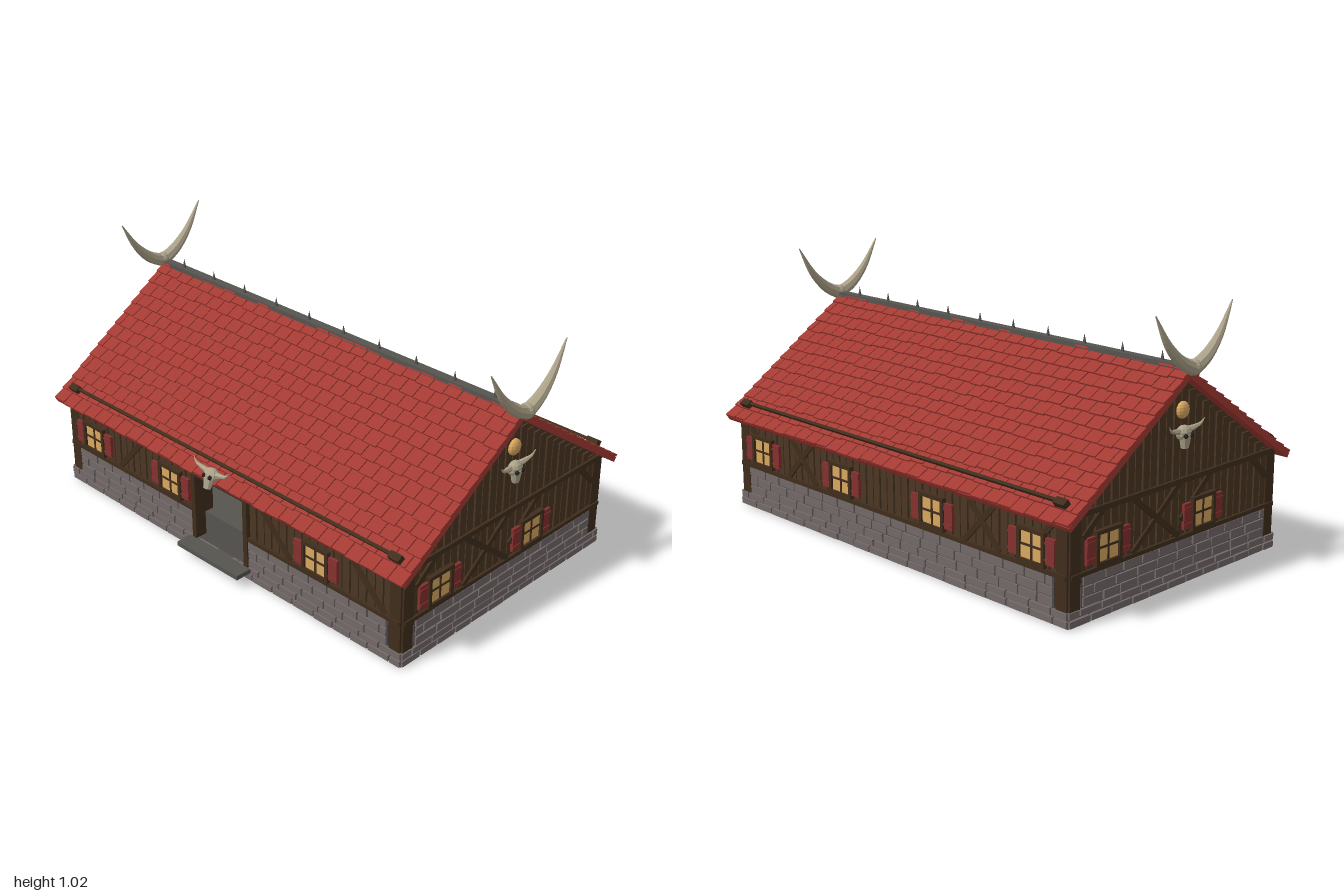
import * as THREE from 'three';
import { mergeGeometries } from 'three/addons/utils/BufferGeometryUtils.js';

const material = (name, color) => new THREE.MeshStandardMaterial({ name, color, flatShading: true });

const WALL_X = 0.915, WALL_Z = 0.56;       // half sizes of the timber walls
const RIDGE = 0.81, RISE = 0.425, RUN = 0.617;
const DOOR = 0.145, DOOR_TOP = 0.34;

export function createModel() {
  const mats = {
    roof: material('roof red', 0xa33a33),
    wood: material('wall brown', 0x4a3624),
    beam: material('beam brown', 0x402d1c),
    stone: material('stone grey', 0x736868),
    mortar: material('mortar grey', 0x4e4947),
    slate: material('slate grey', 0x55544f),
    shutter: material('shutter red', 0x85302e),
    amber: material('amber', 0xd9a75f),
    bone: material('bone', 0xada38a),
    dark: material('dark', 0x25221f),
  };
  let seed = 7;
  const rand = () => (seed = (seed * 16807) % 2147483647) / 2147483647;

  const box = (w, h, d, x, y, z, rz = 0) =>
    new THREE.BoxGeometry(w, h, d).rotateZ(rz).translate(x, y, z);
  const add = (parent, name, geo, mat) => {
    const mesh = new THREE.Mesh(Array.isArray(geo) ? mergeGeometries(geo) : geo, mat);
    mesh.name = name;
    parent.add(mesh);
    return mesh;
  };
  const group = (parent, name) => {
    const g = new THREE.Group();
    g.name = name;
    parent.add(g);
    return g;
  };
  // a timber between two points on a wall
  const strut = (x1, y1, x2, y2, w = 0.022, z = 0.01) =>
    box(Math.hypot(x2 - x1, y2 - y1), w, 0.014, (x1 + x2) / 2, (y1 + y2) / 2, z, Math.atan2(y2 - y1, x2 - x1));

  // tube shrinking to a point along its path
  const horn = (points, r0, sides = 8, steps = 14) => {
    const curve = new THREE.CatmullRomCurve3(points.map(p => new THREE.Vector3(...p)));
    const geo = new THREE.TubeGeometry(curve, steps, r0, sides);
    const pos = geo.attributes.position, v = new THREE.Vector3();
    for (let i = 0; i < pos.count; i++) {
      const t = Math.floor(i / (sides + 1)) / steps;
      v.fromBufferAttribute(pos, i).sub(curve.getPointAt(t)).multiplyScalar(1 - 0.92 * t ** 1.3);
      v.add(curve.getPointAt(t));
      pos.setXYZ(i, v.x, v.y, v.z);
    }
    return geo;
  };

  const addSkull = (parent, x, y, z, tilt) => {
    const g = group(parent, 'skull');
    g.position.set(x, y, z);
    g.rotation.x = tilt;
    const parts = [
      new THREE.SphereGeometry(0.034, 10, 7).scale(1, 0.85, 0.75).translate(0, 0.008, 0.01),
      new THREE.CylinderGeometry(0.026, 0.016, 0.05, 8).scale(1, 1, 0.8).translate(0, -0.02, 0.017),
    ];
    for (const s of [-1, 1]) {
      parts.push(horn([[s * 0.025, 0.016, 0.01], [s * 0.055, 0.022, 0.015], [s * 0.08, 0.03, 0.02], [s * 0.098, 0.05, 0.025]], 0.012, 6, 8));
    }
    add(g, 'skullBone', parts, mats.bone);
    add(g, 'skullEyes', [-1, 1].map(s => new THREE.SphereGeometry(0.009, 6, 5).translate(s * 0.016, 0.003, 0.033)), mats.dark);
  };

  const addWindow = (parent, x) => {
    const g = group(parent, 'window');
    g.position.set(x, 0.257, 0.005);
    add(g, 'windowPane', box(0.105, 0.105, 0.008, 0, 0, 0.008), mats.amber);
    const frame = [box(0.008, 0.105, 0.01, 0, 0, 0.01), box(0.105, 0.008, 0.01, 0, 0, 0.01)];
    for (const s of [-1, 1]) {
      frame.push(box(0.014, 0.128, 0.022, s * 0.058, 0, 0.01), box(0.13, 0.014, 0.022, 0, s * 0.057, 0.01));
    }
    add(g, 'windowFrame', frame, mats.beam);
    const leaves = [], straps = [];
    for (const s of [-1, 1]) {
      leaves.push(box(0.042, 0.096, 0.012, s * 0.088, 0, 0.01));
      for (const y of [-0.03, 0.03]) straps.push(box(0.044, 0.008, 0.004, s * 0.088, y, 0.017));
    }
    add(g, 'shutters', leaves, mats.shutter);
    add(g, 'shutterStraps', straps, mats.shutter);
  };

  // rows of staggered stones on a wall face
  const stones = (list, from, to, y0, rows, pitch, z) => {
    for (let r = 0; r < rows; r++) {
      let x = from, first = true;
      while (x < to - 0.005) {
        let w = 0.085 + rand() * 0.03;
        if (first && r % 2) w *= 0.5;
        if (to - x - w < 0.03) w = to - x;
        list.push(box(w - 0.007, pitch - 0.006, 0.016, x + w / 2, y0 + (r + 0.5) * pitch, z + rand() * 0.003));
        x += w;
        first = false;
      }
    }
  };

  // one wall, drawn facing +z with its outer surface at z = 0
  const addFacade = (parent, name, half, depth, angle, windows, { gable = false, door = false, braces = [] }) => {
    const g = group(parent, name);
    g.rotation.y = angle;
    g.position.set(Math.sin(angle) * depth, 0, Math.cos(angle) * depth);
    const shape = new THREE.Shape();
    shape.moveTo(-half, 0.05);
    if (door) {
      shape.lineTo(-DOOR, 0.05).lineTo(-DOOR, DOOR_TOP).lineTo(DOOR, DOOR_TOP).lineTo(DOOR, 0.05);
    }
    shape.lineTo(half, 0.05).lineTo(half, 0.39);
    if (gable) shape.lineTo(0, 0.777);
    shape.lineTo(-half, 0.39);
    add(g, 'wall', new THREE.ExtrudeGeometry(shape, { depth: 0.03, bevelEnabled: false }).translate(0, 0, -0.03), mats.wood);

    // vertical planks
    const planks = [], n = Math.round(half * 2 / 0.04), step = half * 2 / n;
    for (let i = 0; i < n; i++) {
      const x = -half + (i + 0.5) * step;
      const top = gable ? 0.772 - (Math.abs(x) + step / 2) * 0.69 : 0.388;
      const low = door && Math.abs(x) < DOOR + step / 2 ? DOOR_TOP : 0.15;
      planks.push(box(step - 0.007, top - low, 0.008, x, (top + low) / 2, 0.002 + (i % 2) * 0.002));
    }
    add(g, 'planks', planks, mats.wood);

    // beams, corner posts and braces
    const beams = [strut(-half, 0.395, half, 0.395, 0.02)];
    for (const s of [-1, 1]) {
      beams.push(box(0.05, 0.335, 0.02, s * (half - 0.022), 0.225, 0.001));
      beams.push(door ? strut(s * DOOR, 0.182, s * half, 0.182, 0.016) : strut(0, 0.182, s * half, 0.182, 0.016));
    }
    braces.forEach(b => beams.push(strut(...b, 0.022, 0.008)));
    add(g, 'beams', beams, mats.beam);

    // stone plinth and footing
    const list = [], backing = [], inner = half - 0.055;
    const spans = door ? [[-inner, -DOOR - 0.01], [DOOR + 0.01, inner]] : [[-inner, inner]];
    for (const [a, b] of spans) {
      stones(list, a, b, 0.062, 3, 0.038, 0.008);
      backing.push(box(b - a, 0.114, 0.012, (a + b) / 2, 0.118, 0.004));
    }
    stones(list, -half - 0.012, half + 0.012, 0.002, 2, 0.03, 0.008);
    add(g, 'stones', list, mats.stone);
    add(g, 'mortar', backing, mats.mortar);
    windows.forEach(x => addWindow(g, x));

    if (gable) {
      add(g, 'roundLamp', new THREE.SphereGeometry(0.032, 12, 8).scale(1, 1, 0.6).translate(0, 0.655, 0.012), mats.amber);
      addSkull(g, 0, 0.565, 0.01, 0);
    }
    if (door) {
      const frame = [box(DOOR * 2 + 0.03, 0.025, 0.07, 0, DOOR_TOP + 0.008, -0.02)];
      for (const s of [-1, 1]) frame.push(box(0.022, 0.3, 0.09, s * DOOR, 0.2, -0.025));
      add(g, 'doorFrame', frame, mats.beam);
    }
  };

  const model = new THREE.Group();
  model.name = 'longhouse';
  const house = group(model, 'house');
  house.position.z = -0.013;

  // footing, raised floor and doorstep
  add(house, 'footing', box(1.845, 0.06, 1.135, 0, 0.03, 0), mats.mortar);
  add(house, 'underside', box(1.84, 0.004, 1.13, 0, 0.002, 0), mats.dark);
  add(house, 'floor', box(1.77, 0.11, 1.06, 0, 0.105, 0), mats.slate);
  add(house, 'doorstep', box(0.34, 0.018, 0.12, 0, 0.05, 0.588), mats.slate);

  // walls
  const gableBraces = [
    [-0.25, 0.39, 0, 0.19], [-0.25, 0.19, 0, 0.39],
    [0.17, 0.39, 0.01, 0.25], [-0.4, 0.39, -0.5, 0.31], [0.42, 0.39, 0.51, 0.3],
  ];
  const longBraces = [];
  for (const s of [-1, 1]) {
    longBraces.push([s * 0.6, 0.19, s * 0.42, 0.38], [s * 0.42, 0.19, s * 0.6, 0.38], [s * 0.87, 0.38, s * 0.8, 0.3]);
  }
  addFacade(house, 'frontWall', WALL_X, WALL_Z, 0, [-0.755, -0.28, 0.515],
    { door: true, braces: [[-0.6, 0.19, -0.43, 0.38], [0.65, 0.38, 0.85, 0.19], [0.2, 0.38, 0.38, 0.19]] });
  addFacade(house, 'backWall', WALL_X, WALL_Z, Math.PI, [-0.76, -0.26, 0.26, 0.76], { braces: longBraces });
  for (const s of [-1, 1]) {
    addFacade(house, s > 0 ? 'leftGable' : 'rightGable', WALL_Z, WALL_X, s * Math.PI / 2, [-0.383, 0.127],
      { gable: true, braces: gableBraces });
  }

  // two shingled roof slopes, local +z running down the slope
  const slope = Math.hypot(RISE, RUN), rows = 13, pitch = slope / rows;
  for (const angle of [0, Math.PI]) {
    const side = group(house, angle ? 'backRoof' : 'frontRoof');
    side.rotation.y = angle;
    const pane = group(side, 'roofSlope');
    pane.position.y = RIDGE;
    pane.rotation.x = Math.atan2(RISE, RUN);
    add(pane, 'roofSlab', box(1.92, 0.02, slope - 0.005, 0, -0.021, slope / 2), mats.roof);
    const shingles = [], count = 29, w = 1.924 / count;
    for (let r = 0; r < rows; r++) {
      for (let i = 0; i <= count; i++) {
        const shift = r % 2 ? -0.5 : 0;
        const a = Math.max(-0.962, -0.962 + (i + shift) * w), b = Math.min(0.962, -0.962 + (i + 1 + shift) * w);
        if (b - a < 0.01) continue;
        const len = pitch + 0.012;
        shingles.push(new THREE.BoxGeometry(b - a - 0.004, 0.01, len).rotateX(-0.12)
          .translate((a + b) / 2, -0.008, (r + 1) * pitch - len / 2 + (rand() - 0.5) * 0.008));
      }
    }
    add(pane, 'shingles', shingles, mats.roof);
    const rail = [box(1.8, 0.012, 0.012, 0, 0.012, 0.672)];
    for (const s of [-1, 1]) rail.push(box(0.05, 0.025, 0.028, s * 0.882, 0.01, 0.675));
    add(pane, 'snowRail', rail, mats.beam);
  }

  // ridge cap with spikes
  add(house, 'ridgeCap', box(1.93, 0.018, 0.036, 0, 0.808, 0), mats.slate);
  const spikes = [];
  for (let i = 0; i < 10; i++) {
    spikes.push(new THREE.ConeGeometry(0.008, 0.04, 6).translate(-0.83 + i * 0.1844, 0.834, 0));
  }
  add(house, 'ridgeSpikes', spikes, mats.slate);

  // crossed horns on both gable tops
  for (const s of [-1, 1]) {
    const g = group(house, 'gableHorns');
    g.position.set(s * 0.97, 0.815, 0);
    const parts = [new THREE.SphereGeometry(0.03, 10, 8)];
    for (const t of [-1, 1]) {
      parts.push(horn([[0, -0.005, 0], [0, 0.03, t * 0.07], [-s * 0.001, 0.095, t * 0.138], [-s * 0.003, 0.208, t * 0.208]], 0.027));
    }
    add(g, 'horns', parts, mats.bone);
  }

  // skull over the entrance
  addSkull(house, 0, 0.4, 0.6, -0.35);
  return model;
}
